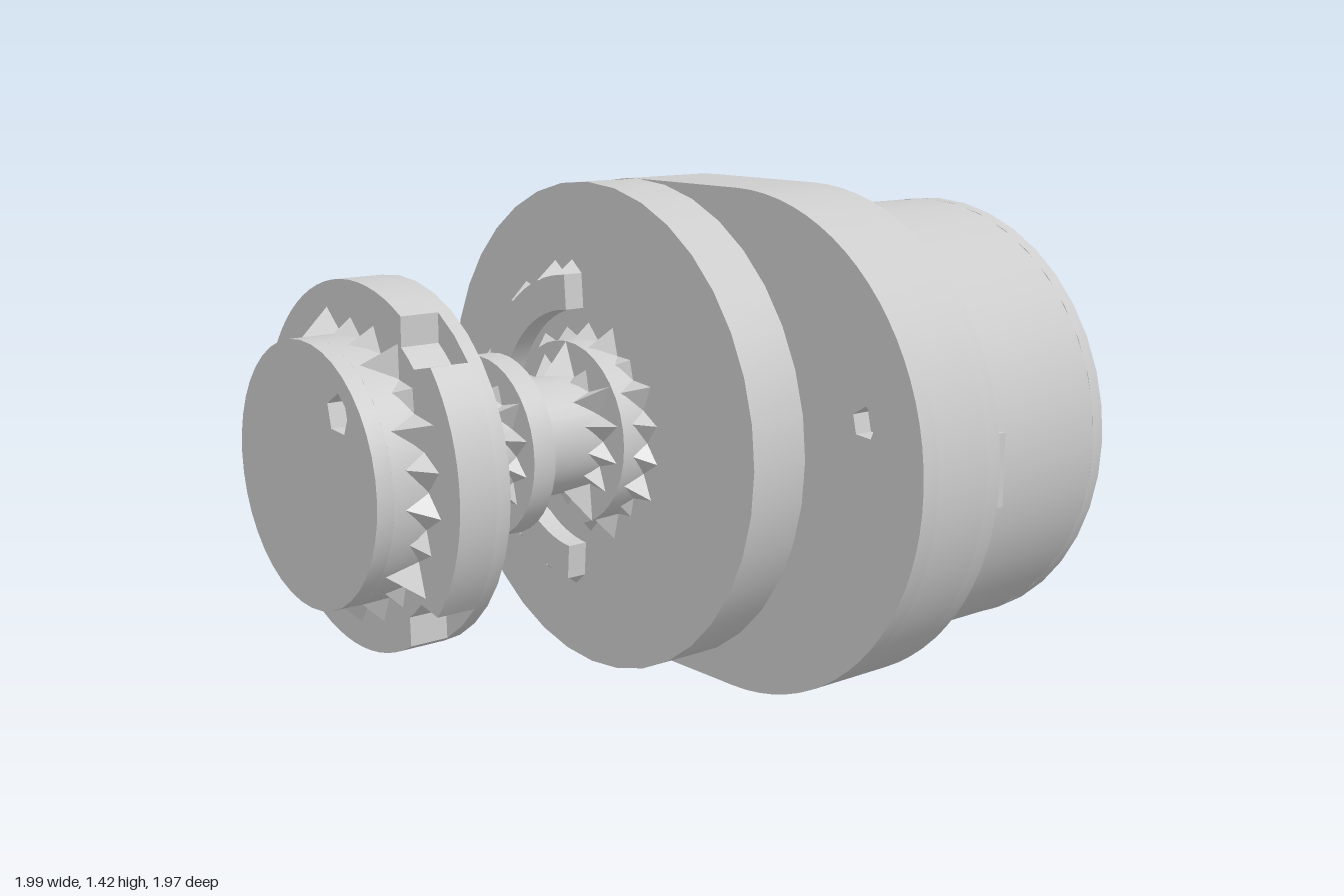
import * as THREE from 'three';
import { toCreasedNormals } from 'three/addons/utils/BufferGeometryUtils.js';

const material = new THREE.MeshStandardMaterial({ color: 0xcccccc });
const thinMaterial = new THREE.MeshStandardMaterial({ color: 0xcccccc, side: THREE.DoubleSide, flatShading: true });
const SHAFT_Z = -0.287;
const MOTOR_Z = 0.14;

// Outline helpers: shape x is -z of the model, shape y is up
function disc(z, r) {
  const s = new THREE.Shape();
  s.absarc(-z, 0, r, 0, Math.PI * 2);
  return s;
}
function hole(z, y, r, sides = 5, turn = 0.4) {
  const pts = [];
  for (let i = 0; i < sides; i++) {
    const a = turn + (i / sides) * Math.PI * 2;
    pts.push(new THREE.Vector2(-z + r * Math.cos(a), y + r * Math.sin(a)));
  }
  return new THREE.Path(pts);
}

// Extrude an outline along x from x0 to x1
function slab(name, shape, x0, x1) {
  const g = new THREE.ExtrudeGeometry(shape, { depth: x1 - x0, bevelEnabled: false, curveSegments: 20 });
  g.rotateY(Math.PI / 2);
  g.translate(x0, 0, 0);
  const mesh = new THREE.Mesh(toCreasedNormals(g, 0.6), material);
  mesh.name = name;
  return mesh;
}

// Solid of revolution around the x axis at depth z; profile is [x, radius]
function turned(name, z, profile) {
  const g = new THREE.LatheGeometry(profile.map(([x, r]) => new THREE.Vector2(r, x)), 36);
  g.rotateZ(-Math.PI / 2);
  g.translate(0, 0, z);
  const mesh = new THREE.Mesh(toCreasedNormals(g, 0.5), material);
  mesh.name = name;
  return mesh;
}
const cylinder = (name, z, x0, x1, r) => turned(name, z, [[x0, 0], [x0, r], [x1, r], [x1, 0]]);

// Ragged fins in the corner between a wall of radius r and a plate at x
function fins(name, x, height, r, reach, count, z, from = 0, sweep = Math.PI * 2) {
  const pos = [];
  const half = (sweep / count) * 0.5;
  const point = (px, pr, a) => [px, pr * Math.sin(a), z + pr * Math.cos(a)];
  for (let i = 0; i < count; i++) {
    const a = from + (i + 0.5) * (sweep / count);
    const vary = 0.8 + 0.3 * Math.sin(i * 2.4);
    const left = point(x, r, a - half);
    const right = point(x, r, a + half);
    const tip = point(x, r + reach * vary, a);
    const top = point(x + height * vary, r * 0.995, a + half * 0.3);
    pos.push(...left, ...tip, ...top, ...tip, ...right, ...top);
  }
  const g = new THREE.BufferGeometry();
  g.setAttribute('position', new THREE.Float32BufferAttribute(pos, 3));
  g.computeVertexNormals();
  const mesh = new THREE.Mesh(g, thinMaterial);
  mesh.name = name;
  return mesh;
}

export function createModel() {
  const body = new THREE.Group();
  body.name = 'gearMotor';

  // Gearbox: rounded plate with a round cover behind it
  const plate = new THREE.Shape();
  plate.absarc(-SHAFT_Z, 0, 0.71, -Math.PI / 2, Math.PI / 2);
  plate.absarc(-MOTOR_Z, 0, 0.71, Math.PI / 2, Math.PI * 1.5);
  plate.closePath();
  const frontPlate = plate.clone();
  for (const y of [0.31, -0.29]) frontPlate.holes.push(hole(-0.81, y, y > 0 ? 0.035 : 0.02));
  const backPlate = plate.clone();
  backPlate.holes.push(hole(0.64, 0.14, 0.045));
  body.add(
    slab('gearboxBackPlate', backPlate, 0.085, 0.14),
    slab('gearboxPlate', plate, 0.14, 0.325),
    slab('gearboxFrontPlate', frontPlate, 0.325, 0.375),
    cylinder('gearboxCover', SHAFT_Z, -0.098, 0.09, 0.71)
  );

  // Raised crescent on the cover, on the side away from the motor
  const crescent = new THREE.Shape();
  crescent.absarc(-SHAFT_Z, 0, 0.45, -1.5, 1.5);
  crescent.absarc(-SHAFT_Z, 0, 0.35, 1.5, -1.5, true);
  crescent.closePath();
  body.add(
    slab('coverCrescent', crescent, -0.16, -0.09),
    fins('crescentFins', -0.098, -0.07, 0.45, 0.05, 18, SHAFT_Z, Math.PI - 1.5, 3)
  );

  // Motor can with a chamfered end, six shallow pockets and a centre hole
  body.add(turned('motorCan', MOTOR_Z, [[0.36, 0], [0.36, 0.638], [0.855, 0.638], [0.855, 0]]));
  const cap = disc(MOTOR_Z, 0.638);
  cap.holes.push(hole(MOTOR_Z, 0, 0.06, 6));
  for (let i = 0; i < 6; i++) {
    const a = Math.PI / 2 + (i * Math.PI) / 3;
    cap.holes.push(hole(MOTOR_Z + 0.225 * Math.cos(a), 0.225 * Math.sin(a), 0.075, 5, a));
  }
  body.add(
    slab('motorEndCap', cap, 0.855, 0.895),
    fins('motorFins', 0.375, 0.075, 0.636, 0.055, 60, MOTOR_Z)
  );
  // Square blocks at the two sides of the motor root
  for (const side of [-1, 1]) {
    const block = new THREE.Mesh(new THREE.BoxGeometry(0.05, 0.2, 0.07), material);
    block.name = 'motorRootBlock';
    block.position.set(0.395, 0, MOTOR_Z + side * 0.65);
    body.add(block);
  }

  // Output shaft with boss and collar
  body.add(
    cylinder('outputShaft', SHAFT_Z, -0.75, -0.08, 0.17),
    cylinder('shaftBoss', SHAFT_Z, -0.18, -0.08, 0.265),
    cylinder('shaftCollar', SHAFT_Z, -0.475, -0.405, 0.254),
    fins('bossFins', -0.18, -0.07, 0.17, 0.09, 14, SHAFT_Z),
    fins('bossRootFins', -0.098, -0.06, 0.265, 0.06, 18, SHAFT_Z),
    fins('collarFrontFins', -0.405, 0.05, 0.17, 0.07, 14, SHAFT_Z),
    fins('collarBackFins', -0.475, -0.05, 0.17, 0.07, 14, SHAFT_Z),
    fins('flangeFins', -0.72, 0.1, 0.17, 0.08, 14, SHAFT_Z)
  );

  // Wheel flange with two rim notches, cut as a disc outline
  const rim = [];
  for (let i = 0; i < 72; i++) {
    const a = (i / 72) * Math.PI * 2;
    const notched = [125, 130, 135, 225, 230, 235].includes(Math.round((a * 180) / Math.PI));
    const r = notched ? 0.43 : 0.497;
    rim.push(new THREE.Vector2(-SHAFT_Z + r * Math.cos(a), r * Math.sin(a)));
  }
  body.add(
    slab('wheelFlange', new THREE.Shape(rim), -0.87, -0.76),
    cylinder('wheelFlangeFace', SHAFT_Z, -0.76, -0.72, 0.497)
  );

  // Hub on the outer side of the flange
  const hubFace = disc(SHAFT_Z, 0.356);
  hubFace.holes.push(hole(SHAFT_Z + 0.18, 0.19, 0.055));
  body.add(
    cylinder('wheelHub', SHAFT_Z, -0.97, -0.86, 0.356),
    slab('wheelHubFace', hubFace, -1.018, -0.97),
    fins('hubFins', -0.87, -0.08, 0.355, 0.07, 22, SHAFT_Z)
  );

  body.position.y = 0.715;
  body.rotation.y = -Math.PI / 12;
  const model = new THREE.Group();
  model.name = 'model';
  model.add(body);
  return model;
}
